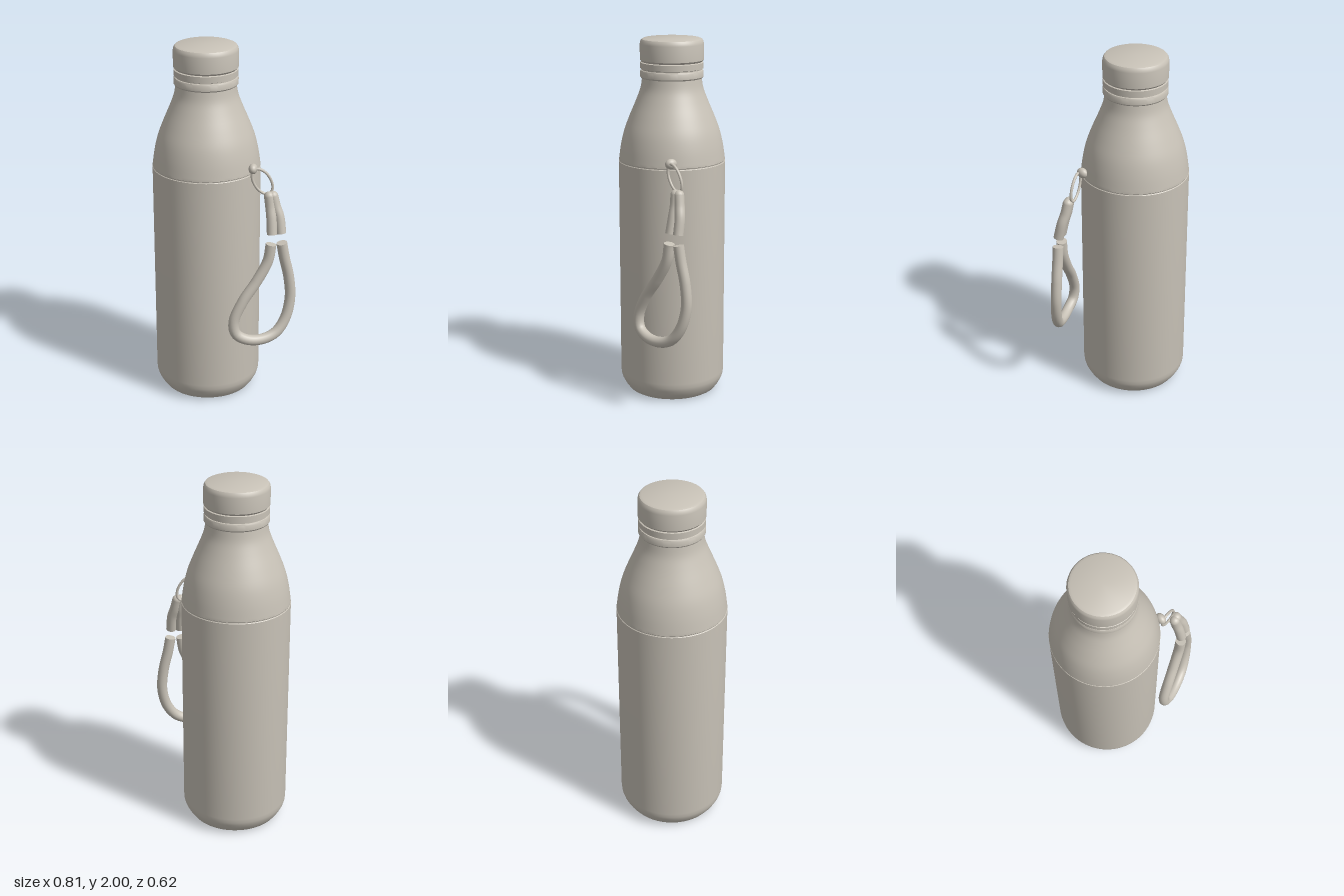
import * as THREE from 'three';
import { toCreasedNormals } from 'three/addons/utils/BufferGeometryUtils.js';

const V = (x, y, z) => new THREE.Vector3(x, y, z);

export function createModel() {
  const model = new THREE.Group();
  model.name = 'bottle';
  const stone = new THREE.MeshStandardMaterial({ color: 0xc8c2b7 });
  stone.name = 'warm grey';

  const add = (parent, name, geometry, pos) => {
    const mesh = new THREE.Mesh(geometry, stone);
    mesh.name = name;
    if (pos) mesh.position.copy(pos);
    parent.add(mesh);
    return mesh;
  };
  const lathe = (profile) => toCreasedNormals(
    new THREE.LatheGeometry(profile.map(([r, y]) => new THREE.Vector2(r, y)), 80), 0.5);

  // Round cord along points, closed by a flat disc or a rounded end
  const cord = (parent, name, points, radius, ends) => {
    const curve = new THREE.CatmullRomCurve3(points);
    add(parent, name, new THREE.TubeGeometry(curve, 72, radius, 18));
    ends.forEach((end, t) => {
      const p = curve.getPoint(t);
      if (end === 'round') {
        add(parent, name + 'RoundEnd', new THREE.SphereGeometry(radius, 18, 12), p);
      } else {
        const disc = add(parent, name + 'FlatEnd', new THREE.CircleGeometry(radius, 18), p);
        const out = curve.getTangent(t).multiplyScalar(t ? 1 : -1);
        disc.quaternion.setFromUnitVectors(V(0, 0, 1), out);
      }
    });
  };

  // Flask: stepped base, straight body, shoulder and neck
  const flask = new THREE.Group();
  flask.name = 'flask';
  flask.position.set(-0.113, 0, -0.017);
  model.add(flask);

  const shoulder = new THREE.SplineCurve([
    [0.293, 1.338], [0.281, 1.42], [0.262, 1.5], [0.232, 1.58], [0.196, 1.665], [0.172, 1.73], [0.162, 1.79],
  ].map(([r, y]) => new THREE.Vector2(r, y))).getPoints(24).map((p) => [p.x, p.y]);
  add(flask, 'body', lathe([
    [0, 0.012], [0.108, 0.012], [0.112, 0.02], [0.195, 0.02], [0.205, 0.004], [0.215, 0],
    [0.236, 0], [0.25, 0.008], [0.27, 0.035], [0.286, 0.065], [0.292, 0.085], [0.294, 0.11],
    [0.294, 1.328], [0.291, 1.331], [0.291, 1.335], ...shoulder,
  ]));

  // Collar rings and cap
  add(flask, 'collar', lathe([
    [0.15, 1.786], [0.168, 1.786], [0.173, 1.793], [0.173, 1.82], [0.169, 1.828], [0.164, 1.83],
    [0.164, 1.835], [0.172, 1.838], [0.172, 1.87], [0.164, 1.874], [0.15, 1.876],
  ]));
  add(flask, 'cap', lathe([
    [0.15, 1.872], [0.166, 1.874], [0.174, 1.884], [0.174, 1.97], [0.171, 1.985],
    [0.164, 1.995], [0.152, 2], [0, 2],
  ]));

  // Strap assembly on the model's left
  const strap = new THREE.Group();
  strap.name = 'strap';
  model.add(strap);

  const knob = add(strap, 'knob', new THREE.SphereGeometry(1, 24, 16), V(0.158, 1.368, 0.119));
  knob.scale.set(0.024, 0.028, 0.033);

  // Slanted oval link between knob and sleeve
  const link = [];
  for (let i = 0; i < 20; i++) {
    const a = (i / 20) * Math.PI * 2, c = Math.cos(a), s = Math.sin(a);
    link.push(V(0.209 + 0.04 * c + 0.036 * s, 1.3 - 0.068 * c + 0.024 * s, 0.121 - 0.011 * c - 0.01 * s));
  }
  add(strap, 'link', new THREE.TubeGeometry(new THREE.CatmullRomCurve3(link, true), 60, 0.0075, 10, true));

  // Twin-lobed sleeve
  for (const side of [-1, 1]) {
    const lobe = [[0.258, 1.222, 0.13, 0.011], [0.27, 1.165, 0.136, 0.015],
      [0.284, 1.11, 0.147, 0.022], [0.294, 1.02, 0.165, 0.026]]
      .map(([x, y, z, o]) => V(x + side * o * 0.89, y, z - side * o * 0.45));
    cord(strap, side < 0 ? 'sleeveRight' : 'sleeveLeft', lobe, 0.028, ['round', 'flat']);
  }

  // Hanging wrist loop, bowed slightly forward at the bottom
  const loop = [
    [0.267, 0.965, 0], [0.252, 0.87, 0], [0.195, 0.755, 0], [0.125, 0.645, 0], [0.079, 0.53, 0],
    [0.091, 0.457, 0.008], [0.15, 0.418, 0.022], [0.23, 0.409, 0.027], [0.3, 0.436, 0.024],
    [0.348, 0.51, 0.014], [0.371, 0.63, 0.003], [0.361, 0.76, 0], [0.336, 0.88, 0], [0.322, 0.965, 0],
  ].map(([x, y, bow]) => V(x, y, 0.275 - 0.5 * (x - 0.08) + bow));
  cord(strap, 'wristLoop', loop, 0.0295, ['flat', 'flat']);

  return model;
}
